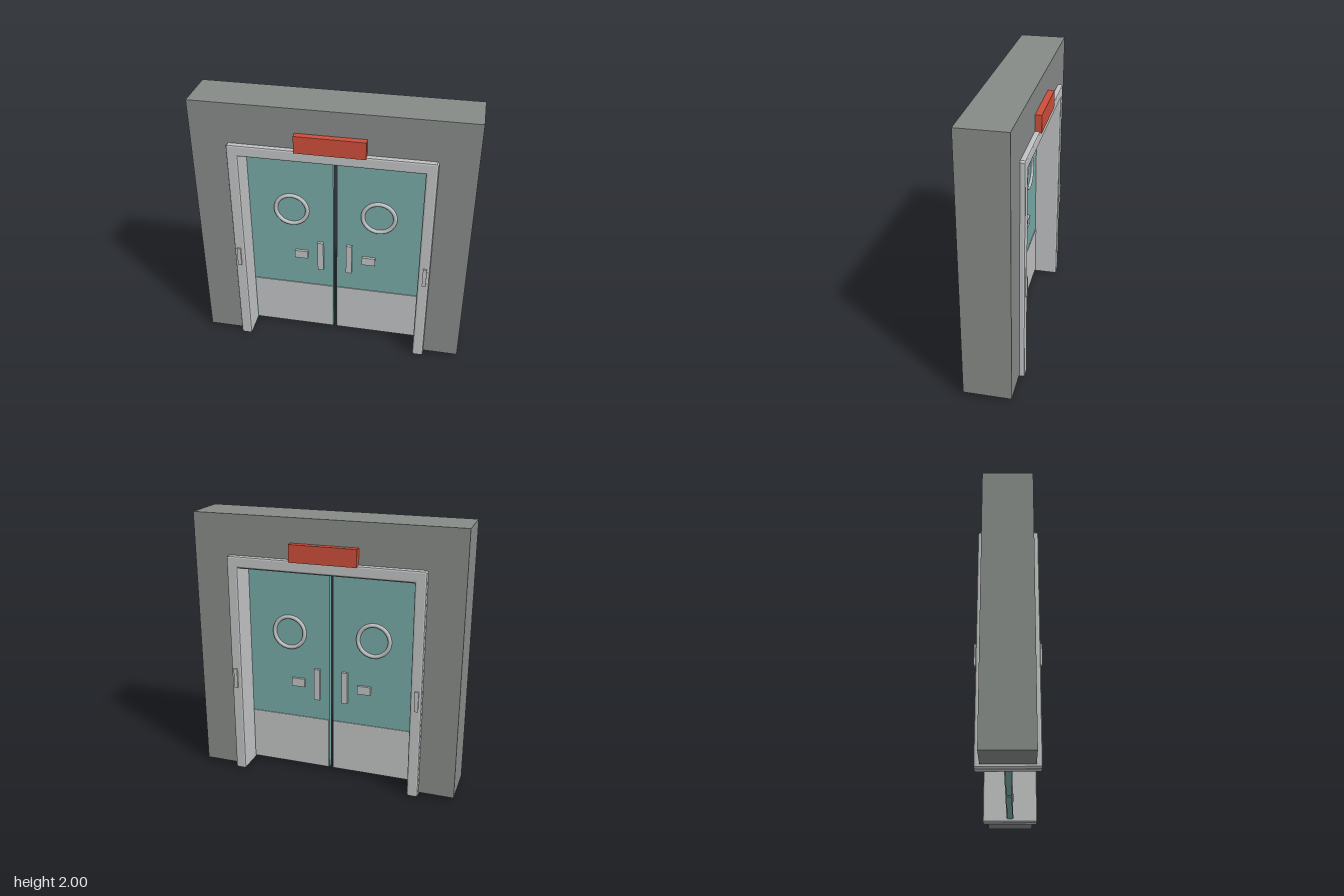
import * as THREE from 'three';

const mat = (name, color) => {
  const m = new THREE.MeshStandardMaterial({ color });
  m.name = name;
  return m;
};

export function createModel() {
  const wallGrey = mat('wall grey', 0x868a87);
  const metal = mat('pale metal', 0xc0c1c2);
  const teal = mat('door teal', 0x76a9a5);
  const red = mat('sign red', 0xcc4e3a);

  const root = new THREE.Group();
  root.name = 'doubleDoorway';

  const add = (parent, name, geometry, material, x = 0, y = 0, z = 0) => {
    const mesh = new THREE.Mesh(geometry, material);
    mesh.name = name;
    mesh.position.set(x, y, z);
    parent.add(mesh);
    return mesh;
  };

  // box given by its x, y and z limits
  const block = (parent, name, material, x0, x1, y0, y1, z0, z1) =>
    add(parent, name, new THREE.BoxGeometry(x1 - x0, y1 - y0, z1 - z0), material,
      (x0 + x1) / 2, (y0 + y1) / 2, (z0 + z1) / 2);

  // upside-down U outline with small corner cuts c
  const archShape = (outer, inner, y0, y1, top, c) => {
    const half = [[inner, top], [inner, y0 + c], [inner + c, y0], [outer - c, y0],
      [outer, y0 + c], [outer, y1 - c], [outer - c, y1]];
    const other = half.map(([x, y]) => [-x, y]).reverse();
    const seen = new Set();
    const points = [...half, ...other].filter(([x, y]) => {
      const key = `${x.toFixed(4)},${y.toFixed(4)}`;
      return !seen.has(key) && seen.add(key);
    });
    return new THREE.Shape(points.map(([x, y]) => new THREE.Vector2(x, y)));
  };

  // wall with the door opening
  const wallDepth = 0.344;
  const wallGeo = new THREE.ExtrudeGeometry(archShape(0.987, 0.65, 0.03, 2, 1.61, 0),
    { depth: wallDepth, bevelEnabled: false });
  add(root, 'wall', wallGeo, wallGrey, 0, 0, -wallDepth / 2);

  // bevelled frame running through the wall
  const bevel = 0.013;
  const frameDepth = 0.416 - 2 * bevel;
  const frameGeo = new THREE.ExtrudeGeometry(archShape(0.727, 0.645, 0.004, 1.705, 1.62, 0.012), {
    depth: frameDepth, bevelEnabled: true, bevelThickness: bevel,
    bevelSize: bevel, bevelOffset: -bevel, bevelSegments: 2,
  });
  add(root, 'doorFrame', frameGeo, metal, 0, 0, -frameDepth / 2);

  // door leaves
  const doorZ = 0.02;
  for (const side of [-1, 1]) {
    const leaf = new THREE.Group();
    leaf.name = side > 0 ? 'leftDoor' : 'rightDoor';
    root.add(leaf);
    const sided = (parent, name, material, a, b, y0, y1, z0, z1) =>
      block(parent, name, material, Math.min(side * a, side * b), Math.max(side * a, side * b), y0, y1, z0, z1);
    sided(leaf, 'doorPanel', teal, 0.013, 0.643, 0.03, 1.608, -doorZ, doorZ);
  }

  // fittings, repeated on both faces by a half turn
  for (const turn of [0, Math.PI]) {
    const face = new THREE.Group();
    face.name = turn ? 'backFittings' : 'frontFittings';
    face.rotation.y = turn;
    root.add(face);

    block(face, 'sign', red, -0.247, 0.247, 1.695, 1.822, 0.165, 0.22);

    for (const s of [-1, 1]) {
      const plate = (name, cx, w, y0, y1, z0, z1) =>
        block(face, name, metal, s * cx - w / 2, s * cx + w / 2, y0, y1, z0, z1);
      plate('kickPlate', 0.328, 0.616, 0.034, 0.436, doorZ, doorZ + 0.006);
      plate('pushPlate', 0.109, 0.044, 0.598, 0.845, doorZ, doorZ + 0.022);
      plate('lockPlate', 0.258, 0.1, 0.69, 0.754, doorZ, doorZ + 0.02);
      plate('framePlate', 0.692, 0.028, 0.694, 0.845, 0.2, 0.22);
      add(face, 'portholeRing', new THREE.TorusGeometry(0.119, 0.015, 10, 28), metal,
        s * 0.325, 1.115, doorZ + 0.005);
    }
  }
  return root;
}
